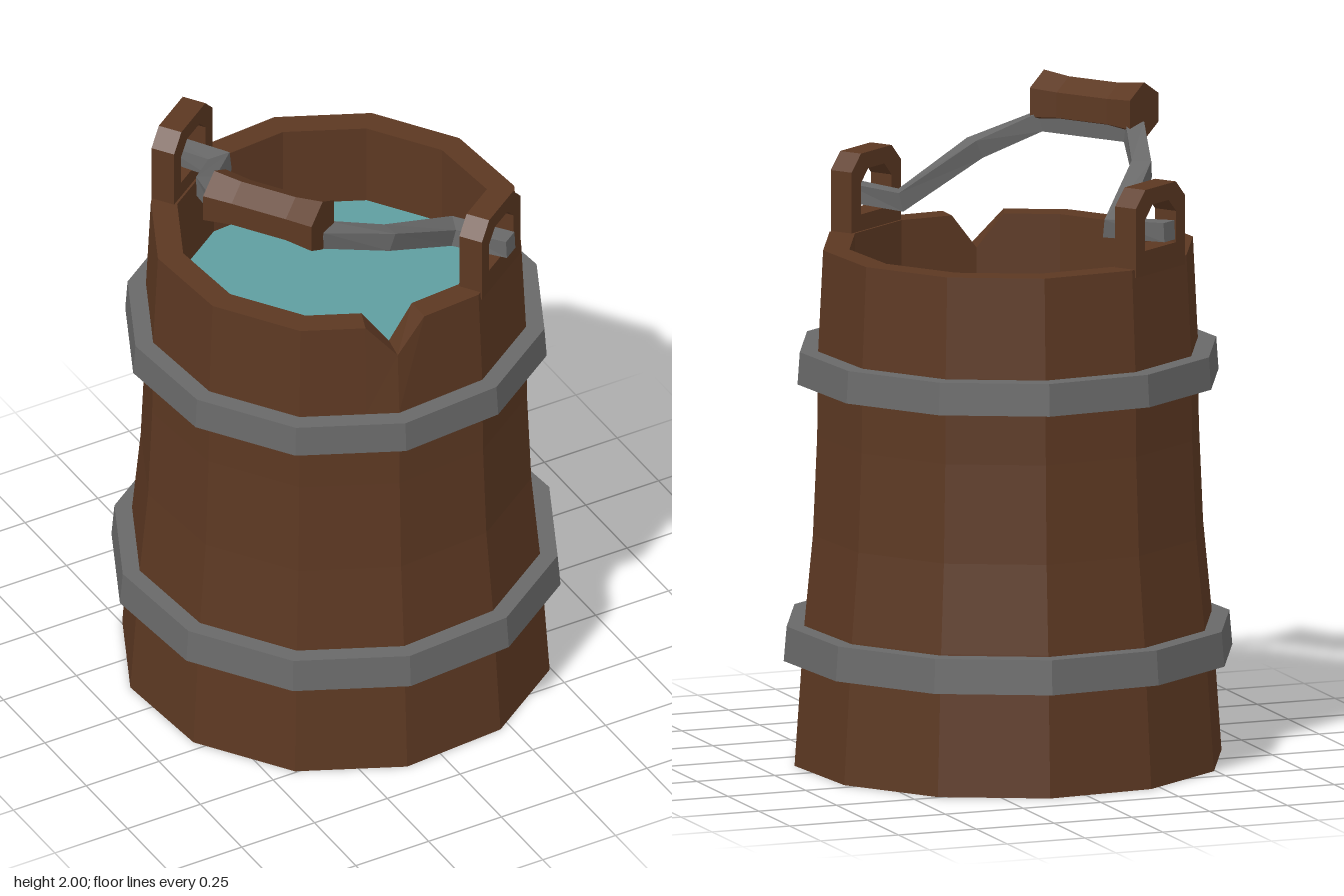
import * as THREE from 'three';

const SIDES = 12;
const START = THREE.MathUtils.degToRad(-10.5); // direction of the first corner
const HANDLE_TURN = THREE.MathUtils.degToRad(34.5); // direction of the lug axis

const flat = (color) => new THREE.MeshStandardMaterial({ color, flatShading: true });
const wood = flat(0x5c3822);
const iron = flat(0x696969);
const waterBlue = flat(0x5f9ea0);

function part(name, geometry, material) {
  const mesh = new THREE.Mesh(geometry, material);
  mesh.name = name;
  return mesh;
}

// Skin a list of closed loops, each with the same number of points
function skin(rows) {
  const n = rows[0].length;
  const index = [];
  for (let j = 0; j < rows.length - 1; j++) {
    for (let i = 0; i < n; i++) {
      const a = j * n + i, b = j * n + (i + 1) % n;
      index.push(a, b, b + n, a, b + n, a + n);
    }
  }
  const indexed = new THREE.BufferGeometry().setFromPoints(rows.flat());
  indexed.setIndex(index);
  const geometry = indexed.toNonIndexed();
  geometry.computeVertexNormals();
  return geometry;
}

// Faceted ring or disc turned from [radius, height] pairs
function turned(profile, sides = SIDES, start = START) {
  const points = profile.map(([r, y]) => new THREE.Vector2(r, y));
  const geometry = new THREE.LatheGeometry(points, sides, start).toNonIndexed();
  geometry.computeVertexNormals();
  return geometry;
}

// Twelve-sided wall with a V notch cut into the rim at the first corner
function bodyGeometry() {
  const profile = [
    [0, 0], [0.65, 0], [0.62, 0.43], [0.594, 0.7], [0.581, 1.0], [0.578, 1.26],
    [0.563, 1.565, 0.105], [0.483, 1.565, 0.105], [0.483, 1.25],
  ];
  return skin(profile.map(([r, y, notch = 0]) => {
    const ring = [];
    for (let k = 0; k < SIDES; k++) {
      const phi = START + (k * Math.PI * 2) / SIDES;
      ring.push(new THREE.Vector3(r * Math.sin(phi), y, r * Math.cos(phi)));
    }
    const after = ring[0].clone().lerp(ring[1], 0.33);
    const before = ring[0].clone().lerp(ring[SIDES - 1], 0.33);
    ring[0].y -= notch;
    return [ring[0], after, ...ring.slice(1), before];
  }));
}

// Square bar with mitred corners along a path
function barGeometry(path, half) {
  const up = new THREE.Vector3(0, 1, 0);
  const last = path.length - 1;
  const heading = (i) => path[i + 1].clone().sub(path[i]).normalize();
  const rows = path.map((p, i) => {
    const incoming = heading(Math.max(i - 1, 0));
    const outgoing = heading(Math.min(i, last - 1));
    const d = incoming.clone().add(outgoing).normalize();
    const side = up.clone().cross(d).normalize();
    const top = d.clone().cross(side);
    const mitre = half / d.dot(incoming);
    return [[1, -1], [1, 1], [-1, 1], [-1, -1]].map(([s, t]) =>
      p.clone().addScaledVector(side, s * mitre).addScaledVector(top, t * half));
  });
  const cap = (p) => Array.from({ length: 4 }, () => p.clone());
  return skin([cap(path[0]), ...rows, cap(path[last])]);
}

// Upright lug with clipped corners and an arched hole
function lugGeometry() {
  const outline = (w, y0, y1, clip) => [
    [-w, y0], [w, y0], [w, y1 - clip], [w - clip, y1], [-w + clip, y1], [-w, y1 - clip],
  ].map(([x, y]) => new THREE.Vector2(x, y));
  const shape = new THREE.Shape(outline(0.132, 1.54, 1.8, 0.05));
  shape.holes.push(new THREE.Path(outline(0.083, 1.615, 1.75, 0.04).reverse()));
  return new THREE.ExtrudeGeometry(shape, { depth: 0.075, bevelEnabled: false })
    .translate(0, 0, -0.0375);
}

export function createModel() {
  const bucket = new THREE.Group();
  bucket.name = 'bucket';

  bucket.add(part('body', bodyGeometry(), wood));
  bucket.add(part('water', turned([[0.484, 1.3], [0, 1.3]]), waterBlue));

  // Iron hoops
  const hoop = (name, y0, y1, r0, r1, inner) => bucket.add(part(name,
    turned([[inner, y0], [r0, y0], [r1, y1], [inner, y1], [inner, y0]]), iron));
  hoop('lowerHoop', 0.32, 0.425, 0.683, 0.674, 0.6);
  hoop('upperHoop', 1.16, 1.258, 0.641, 0.634, 0.56);

  // Lugs and handle share a frame whose z axis runs from lug to lug
  const top = new THREE.Group();
  top.name = 'handleAssembly';
  top.rotation.y = HANDLE_TURN;
  bucket.add(top);

  for (const [name, s] of [['frontLug', 1], ['backLug', -1]]) {
    const lug = part(name, lugGeometry(), wood);
    lug.position.z = s * 0.511;
    top.add(lug);
  }

  // Bent handle bar, mirrored about the grip
  const halfPath = [[0, 1.665, 0.58], [0, 1.655, 0.385], [-0.27, 1.78, 0.3], [-0.43, 1.853, 0.165]];
  const path = [
    ...halfPath.map(([x, y, z]) => new THREE.Vector3(x, y, z)),
    ...halfPath.map(([x, y, z]) => new THREE.Vector3(x, y, -z)).reverse(),
  ];
  top.add(part('handleBar', barGeometry(path, 0.029), iron));

  // Six-sided wooden grip with a slight waist
  const grip = part('grip', turned([
    [0, -0.18], [0.088, -0.18], [0.077, -0.09], [0.077, 0.09], [0.088, 0.18], [0, 0.18],
  ], 6, 0).rotateX(Math.PI / 2), wood);
  grip.position.set(-0.462, 1.912, 0);
  top.add(grip);

  return bucket;
}
